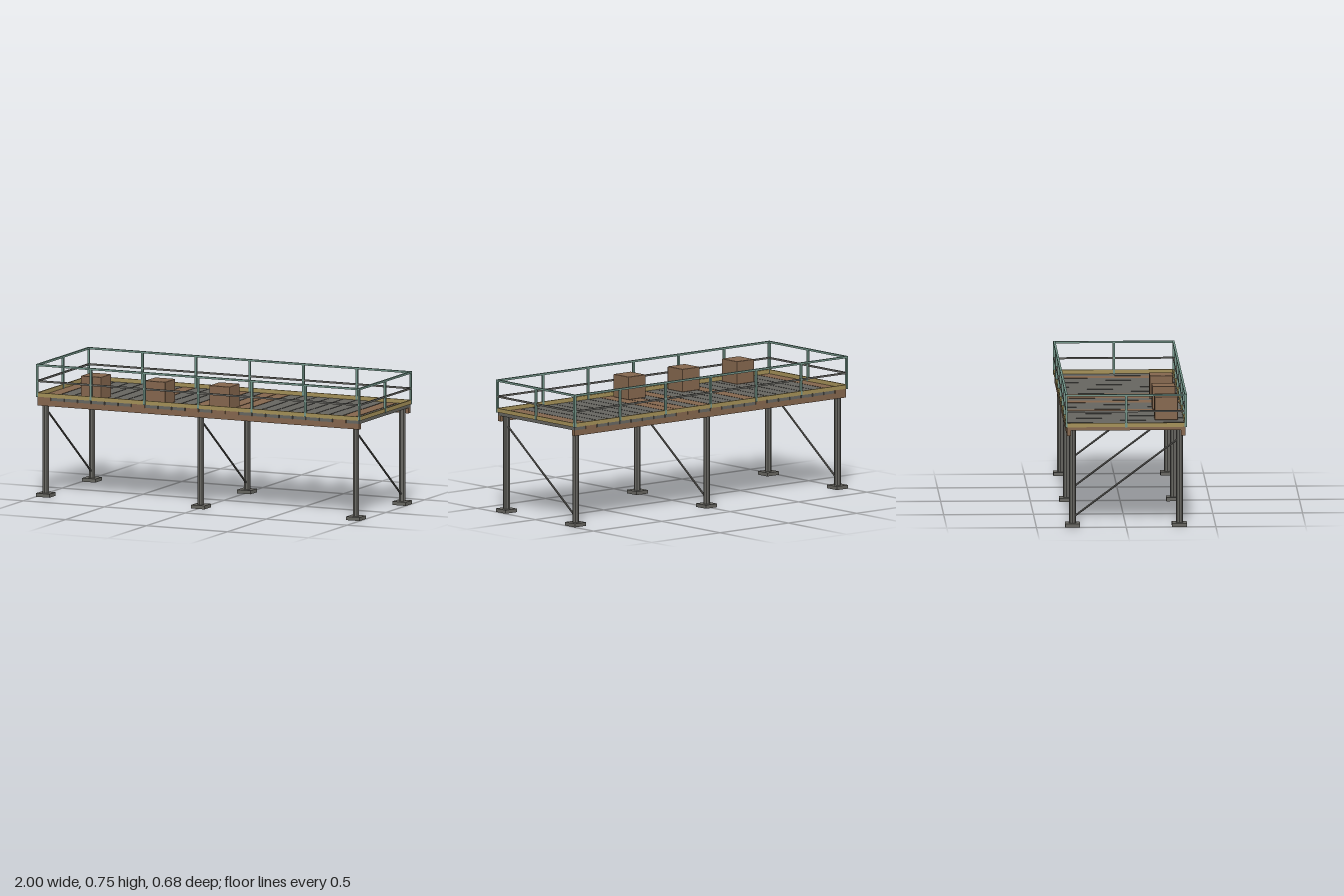
import * as THREE from 'three';
import { RoundedBoxGeometry } from 'three/addons/geometries/RoundedBoxGeometry.js';

const mat = (name, color) => {
  const m = new THREE.MeshStandardMaterial({ color });
  m.name = name;
  return m;
};

export function createModel() {
  const steel = mat('grey steel', 0x666560);
  const rust = mat('rusty brown', 0x84664d);
  const teal = mat('teal paint', 0x729488);
  const yellow = mat('dull yellow', 0xa38f57);

  const model = new THREE.Group();
  model.name = 'raisedPlatform';

  const add = (name, geometry, material, x, y, z) => {
    const mesh = new THREE.Mesh(geometry, material);
    mesh.name = name;
    mesh.position.set(x, y, z);
    model.add(mesh);
    return mesh;
  };
  const box = (name, material, w, h, d, x, y, z) =>
    add(name, new THREE.BoxGeometry(w, h, d), material, x, y, z);
  // Faceted round bar
  const bar = (radius, length) => {
    const g = new THREE.CylinderGeometry(radius, radius, length, 8).toNonIndexed();
    g.computeVertexNormals();
    return g;
  };

  // Columns on foot plates, with one diagonal brace per pair
  const legZ = 0.298;
  for (const x of [-0.958, 0, 0.958]) {
    for (const z of [-legZ, legZ]) {
      box('footPlate', steel, 0.083, 0.02, 0.083, x, 0.01, z);
      add('column', bar(0.019, 0.525), steel, x, 0.2825, z);
    }
    const rise = 0.447, run = 2 * legZ;
    const brace = add('brace', bar(0.0055, Math.hypot(rise, run)), steel, x, 0.273, 0);
    brace.rotation.x = Math.atan2(run, rise);
  }

  // Edge beams under the deck
  for (const s of [-1, 1]) box('edgeBeam', rust, 1.985, 0.032, 0.023, 0, 0.53, s * 0.3185);

  // Deck planks, a few of them rusty
  const count = 24, step = 1.99 / count, rusty = [0, 7, 11, 13, 14, 22];
  for (let i = 0; i < count; i++) {
    const x = (i - (count - 1) / 2) * step;
    box('plank', rusty.includes(i) ? rust : steel, step - 0.005, 0.019, 0.66, x, 0.5545, 0);
  }

  // Toe boards and rails on all four sides
  const rx = 0.994, rz = 0.332, post = 0.012;
  for (const s of [-1, 1]) {
    box('longToeBoard', yellow, 2 * rx, 0.023, 0.008, 0, 0.5755, s * rz);
    box('longMidRail', steel, 2 * rx, 0.01, 0.008, 0, 0.652, s * rz);
    box('longTopRail', teal, 2 * rx + post, 0.011, post, 0, 0.7425, s * rz);
    box('endToeBoard', yellow, 0.008, 0.023, 2 * rz - 0.008, s * rx, 0.5755, 0);
    box('endMidRail', steel, 0.008, 0.01, 2 * rz - 0.008, s * rx, 0.652, 0);
    box('endTopRail', teal, post, 0.011, 2 * rz - post, s * rx, 0.7425, 0);
    box('endPost', teal, post, 0.175, post, s * rx, 0.6505, 0);
    for (let i = -3; i <= 3; i++) {
      box('railPost', teal, post, 0.175, post, (i * rx) / 3, 0.6505, s * rz);
    }
  }

  // Crates along the front edge
  for (const x of [-0.68, -0.283, 0.113]) {
    add('crate', new RoundedBoxGeometry(0.127, 0.13, 0.13, 1, 0.004), rust, x, 0.629, 0.232);
  }

  return model;
}
